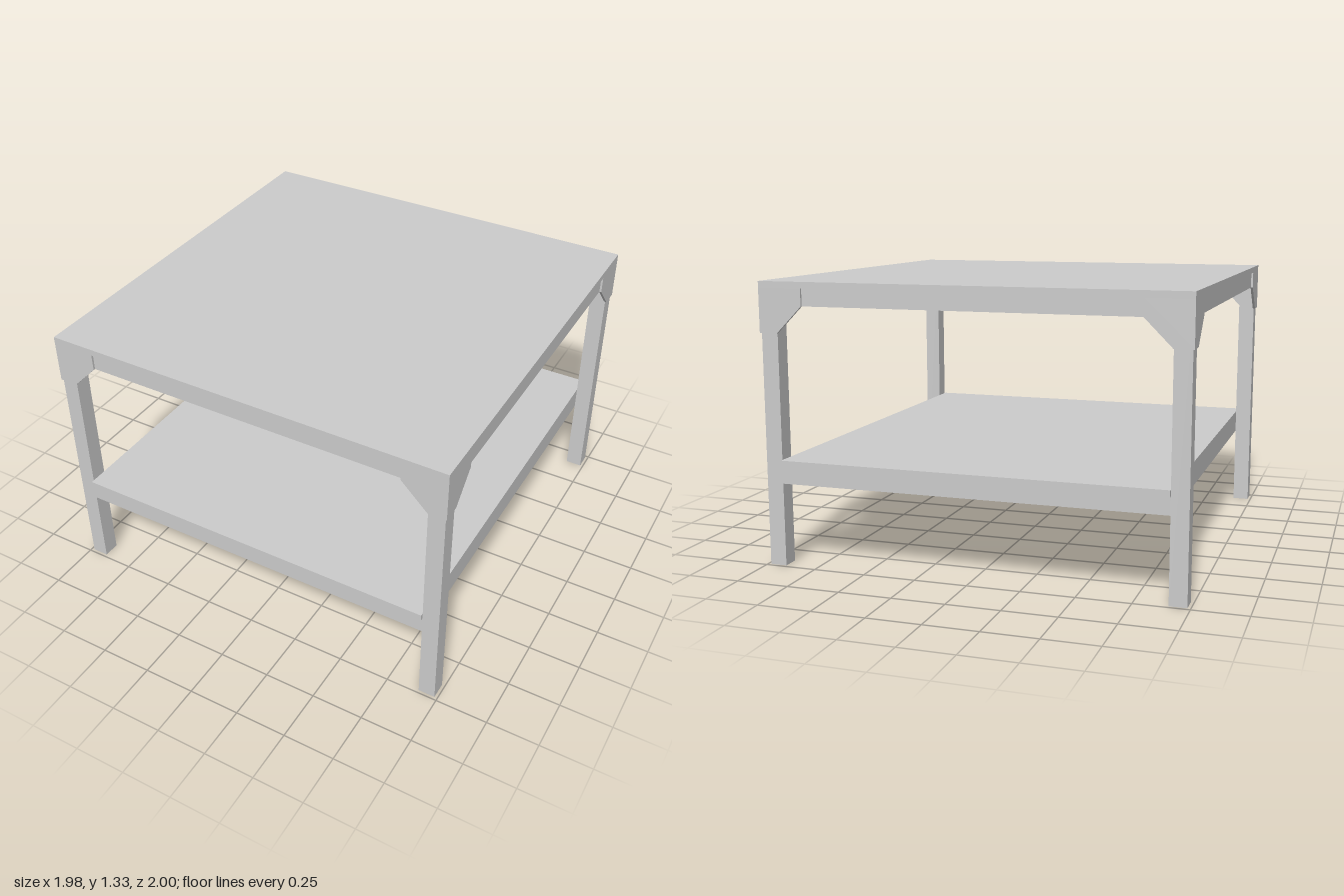
import * as THREE from 'three';

export function createModel() {
  const group = new THREE.Group();
  group.name = 'sideTable';
  const material = new THREE.MeshStandardMaterial({ color: 0xcccccc, flatShading: true });

  const add = (name, geometry, parent = group) => {
    const mesh = new THREE.Mesh(geometry, material);
    mesh.name = name;
    parent.add(mesh);
    return mesh;
  };
  const box = (name, w, h, d, x, y, z) =>
    add(name, new THREE.BoxGeometry(w, h, d)).position.set(x, y, z);

  // Rectangular frame of four rails with outer half sizes hx, hz
  const frame = (name, hx, hz, y0, y1, t = 0.08) => {
    const h = y1 - y0, y = (y0 + y1) / 2;
    for (const s of [-1, 1]) {
      box(name + 'LongRail', 2 * hx, h, t, 0, y, s * (hz - t / 2));
      box(name + 'SideRail', t, h, 2 * (hz - t), s * (hx - t / 2), y, 0);
    }
  };

  // Table top and the apron under it
  box('tableTop', 1.984, 0.03, 1.984, 0, 1.31, 0);
  frame('apron', 0.982, 0.982, 1.215, 1.295);

  // Lower shelf, running slightly past the legs at front and back
  box('shelf', 1.81, 0.03, 2, 0, 0.49, 0);
  frame('shelf', 0.905, 0.985, 0.393, 0.475);

  // Square legs
  for (const x of [-1, 1])
    for (const z of [-1, 1])
      box('leg', 0.08, 1.295, 0.08, x * 0.945, 0.6475, z * 0.945);

  // Corner bracket plates: a mirrored pair on each of the four faces
  const thickness = 0.012;
  for (let i = 0; i < 4; i++) {
    const face = new THREE.Group();
    face.name = 'cornerBrackets';
    face.rotation.y = i * Math.PI / 2;
    group.add(face);
    for (const s of [-1, 1]) {
      const profile = [[0.992, 1.295], [0.992, 1.09], [0.905, 1.09], [0.78, 1.215], [0.78, 1.295]];
      const shape = new THREE.Shape(profile.map(([x, y]) => new THREE.Vector2(s * x, y)));
      const plate = new THREE.ExtrudeGeometry(shape, { depth: thickness, bevelEnabled: false });
      add('bracketPlate', plate, face).position.z = 0.992 - thickness;
    }
  }
  return group;
}
